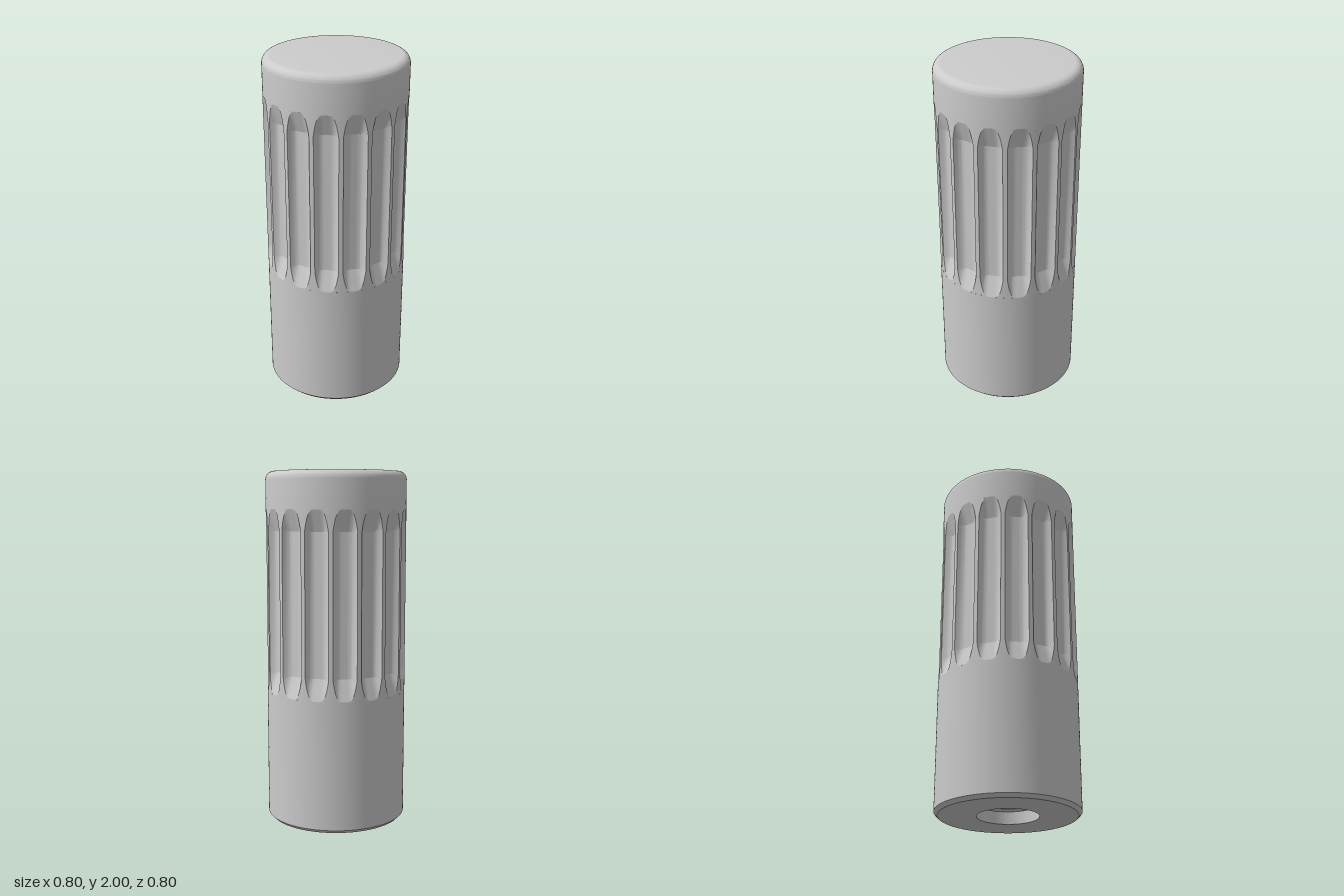
import * as THREE from 'three';
import { toCreasedNormals } from 'three/addons/utils/BufferGeometryUtils.js';

const R = 0.4;            // outer radius
const FLUTES = 16;
const DEPTH = 0.04;       // flute depth
const RAMP = 0.12;        // height of the sloping flute ends
const Y0 = 0.75, Y1 = 1.79;

const material = new THREE.MeshStandardMaterial({ color: 0xcccccc });

function addMesh(group, name, geometry, crease) {
  const mesh = new THREE.Mesh(toCreasedNormals(geometry, crease), material);
  mesh.name = name;
  group.add(mesh);
}

function lathe(points) {
  return new THREE.LatheGeometry(points.map(([x, y]) => new THREE.Vector2(x, y)), 128);
}

// Fluted sleeve: rings of points, each flute scooped out and narrowing at its ends
function flutedGeometry() {
  const widths = [0.3, 0.45, 0.6, 0.7, 0.78, 0.85, 0.91, 0.96, 1];
  const lower = widths.map((w) => [Y0 + RAMP * (w === 0.3 ? 0 : w ** 4), w]);
  const upper = lower.map(([y, w]) => [Y0 + Y1 - y, w]).reverse();
  const rows = [...lower, ...upper];

  const half = [0.2, 0.4, 0.55, 0.65, 0.75, 0.87, 1];
  const us = [...half.map((u) => -u).reverse(), 0, ...half];
  const pitch = (Math.PI * 2) / FLUTES;
  const halfAngle = pitch / 2 - 0.03;   // leaves a narrow ridge between flutes
  const landSteps = 4;

  const positions = [], index = [];
  let columns = 0;
  for (const [y, w] of rows) {
    columns = 0;
    const put = (a, r) => {
      positions.push(r * Math.sin(a), y, r * Math.cos(a));
      columns++;
    };
    for (let f = 0; f < FLUTES; f++) {
      const centre = (f + 0.5) * pitch;
      const edge = halfAngle * w;
      // floor of the flute
      for (const u of us) {
        const d = w === 0.3 ? 0 : DEPTH * w ** 4 * (1 - u ** 4);
        put(centre + edge * u, R - d);
      }
      // ridge up to the next flute
      for (let k = 1; k < landSteps; k++) {
        put(centre + edge + (pitch - 2 * edge) * (k / landSteps), R);
      }
    }
  }
  for (let j = 0; j < rows.length - 1; j++) {
    for (let i = 0; i < columns; i++) {
      const n = (i + 1) % columns;
      const a = j * columns + i, b = j * columns + n;
      const c = a + columns, d = b + columns;
      index.push(a, b, d, a, d, c);
    }
  }
  const geometry = new THREE.BufferGeometry();
  geometry.setAttribute('position', new THREE.Float32BufferAttribute(positions, 3));
  geometry.setIndex(index);
  return geometry;
}

export function createModel() {
  const group = new THREE.Group();
  group.name = 'flutedHandle';

  // Plain lower body with chamfered foot and stepped bore
  addMesh(group, 'lowerBody', lathe([
    [0, 0.6], [0.108, 0.6], [0.108, 0.07], [0.17, 0.07], [0.17, 0],
    [0.38, 0], [R, 0.02], [R, Y0],
  ]), 0.4);

  // Grip section
  addMesh(group, 'flutedGrip', flutedGeometry(), 0.28);

  // Top cap with rounded rim
  const fillet = 0.045;
  const cap = [[R, Y1]];
  for (let i = 0; i <= 10; i++) {
    const a = (i / 10) * Math.PI / 2;
    cap.push([R - fillet + fillet * Math.cos(a), 2 - fillet + fillet * Math.sin(a)]);
  }
  cap.push([0, 2]);
  addMesh(group, 'topCap', lathe(cap), 0.4);

  return group;
}
